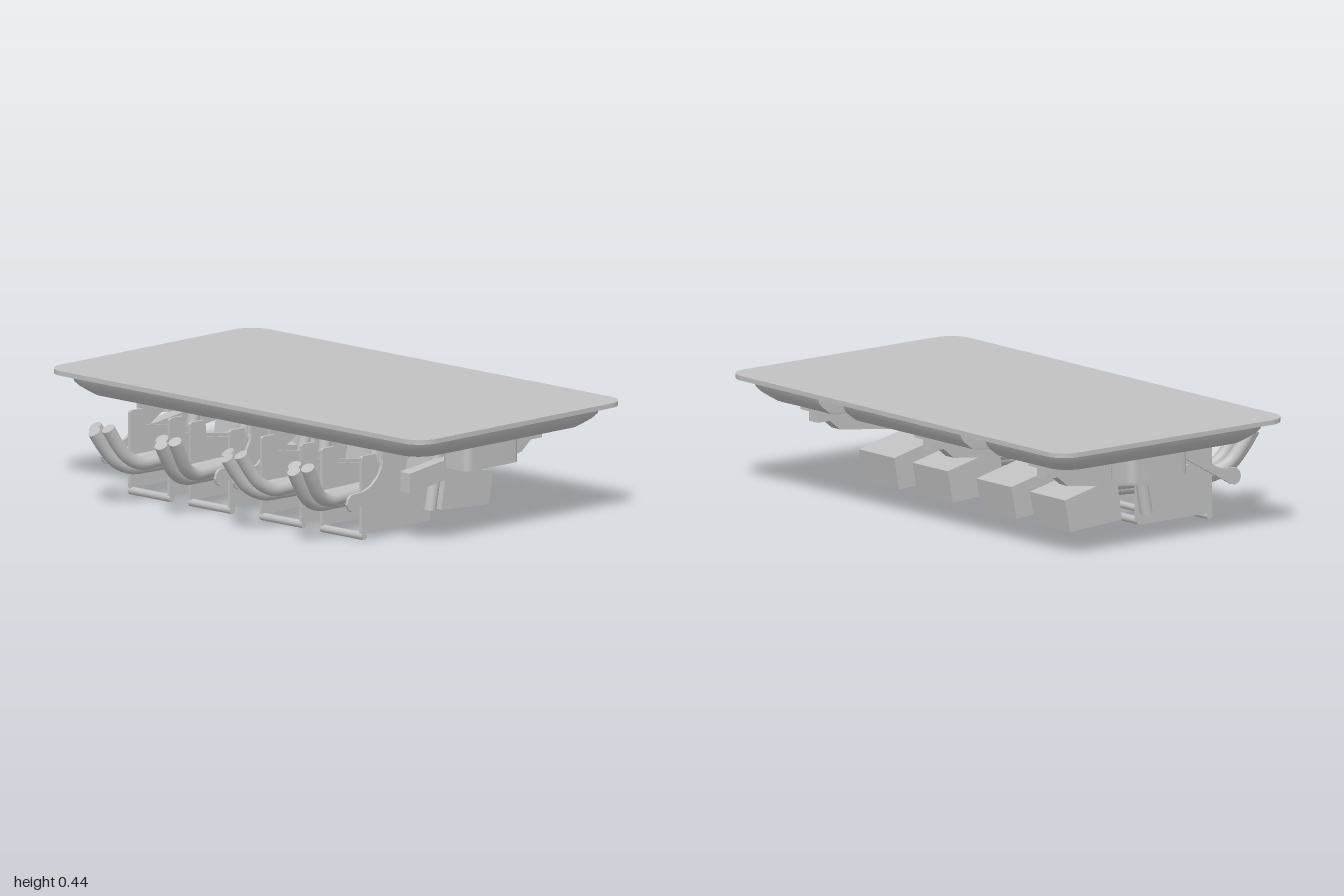
import * as THREE from 'three';
import { toCreasedNormals } from 'three/addons/utils/BufferGeometryUtils.js';

const grey = new THREE.MeshStandardMaterial({ color: 0xc0c0c0 });
grey.name = 'light grey';

function add(parent, geometry, name, x = 0, y = 0, z = 0) {
  const mesh = new THREE.Mesh(geometry, grey);
  mesh.name = name;
  mesh.position.set(x, y, z);
  parent.add(mesh);
  return mesh;
}

// Side profile given as [z, y] points, extruded along x and centred on it
function profile(points, width) {
  const shape = new THREE.Shape(points.map(([z, y]) => new THREE.Vector2(-z, y)));
  const g = new THREE.ExtrudeGeometry(shape, { depth: width, bevelEnabled: false });
  g.translate(0, 0, -width / 2);
  return g.rotateY(Math.PI / 2);
}

// Rounded rectangle in plan, extruded upwards from y = 0
function slab(w, d, r, h) {
  const s = new THREE.Shape();
  const a = w / 2, b = d / 2;
  s.absarc(a - r, b - r, r, 0, Math.PI / 2);
  s.absarc(-a + r, b - r, r, Math.PI / 2, Math.PI);
  s.absarc(-a + r, -b + r, r, Math.PI, Math.PI * 1.5);
  s.absarc(a - r, -b + r, r, Math.PI * 1.5, Math.PI * 2);
  const g = new THREE.ExtrudeGeometry(s, { depth: h, bevelEnabled: false, curveSegments: 10 });
  return toCreasedNormals(g.rotateX(-Math.PI / 2), 0.6);
}

// Cylinder between two points
function rod(parent, name, a, b, r) {
  const from = new THREE.Vector3(...a), to = new THREE.Vector3(...b);
  const dir = to.clone().sub(from);
  const mesh = add(parent, new THREE.CylinderGeometry(r, r, dir.length(), 16), name);
  mesh.position.copy(from).add(to).multiplyScalar(0.5);
  mesh.quaternion.setFromUnitVectors(new THREE.Vector3(0, 1, 0), dir.normalize());
  return mesh;
}

// Plan outline of the tray, inset by d, with two notches in its rear edge
function trayOutline(d) {
  const w = 0.96 - d, front = 0.41 - d, back = -0.64 + d, r = 0.11 - d * 0.3;
  const pts = [];
  const corner = (cx, cz, start) => {
    for (let i = 0; i <= 8; i++) {
      const t = start + (i / 8) * Math.PI / 2;
      pts.push(new THREE.Vector2(cx + r * Math.cos(t), cz + r * Math.sin(t)));
    }
  };
  corner(w - r, front - r, 0);
  corner(-w + r, front - r, Math.PI / 2);
  corner(-w + r, back + r, Math.PI);
  for (const [x, z] of [[-0.5, back], [-0.48, -0.33], [-0.37, -0.33], [-0.35, back],
    [0.35, back], [0.37, -0.33], [0.48, -0.33], [0.5, back]]) pts.push(new THREE.Vector2(x, z));
  corner(w - r, back + r, Math.PI * 1.5);
  return pts;
}

// Loft the outlines down to the flat underside
function trayGeometry() {
  const levels = [[0.428, 0], [0.398, 0.012], [0.382, 0.026], [0.36, 0.055], [0.35, 0.07], [0.345, 0.09]];
  const pos = [], idx = [];
  let n = 0;
  levels.forEach(([y, d], k) => {
    const o = trayOutline(d);
    n = o.length;
    o.forEach(p => pos.push(p.x, y, p.y));
    if (k === 0) return;
    for (let i = 0; i < n; i++) {
      const j = (i + 1) % n, a = (k - 1) * n, b = k * n;
      idx.push(a + i, a + j, b + i, a + j, b + j, b + i);
    }
  });
  const base = (levels.length - 1) * n;
  for (const [a, b, c] of THREE.ShapeUtils.triangulateShape(trayOutline(0.09), []))
    idx.push(base + a, base + b, base + c);
  const g = new THREE.BufferGeometry();
  g.setAttribute('position', new THREE.Float32BufferAttribute(pos, 3));
  g.setIndex(idx);
  return toCreasedNormals(g, 0.6);
}

// One plug bay: cheeks, rods, tilted plug, support posts and a bundle of cables
function plugBay(c, cableStart, cableEnd) {
  const bay = new THREE.Group();
  bay.name = 'plugBay';
  const cheek = profile([[0.375, 0.318], [0.368, 0.325], [0.303, 0.325], [0.295, 0.318], [0.29, 0.26],
    [0.2, 0.245], [0.005, 0.215], [0.005, 0.045], [0.01, 0.032], [0.022, 0.025], [0.375, 0.025]], 0.012);
  for (const s of [-1, 1]) {
    add(bay, cheek, 'cheekPlate', c + s * 0.105);
    rod(bay, 'supportPost', [c + s * 0.135, 0.072, 0.033], [c + s * 0.135, 0.35, -0.02], 0.024);
  }
  const across = (name, y, z, r) => rod(bay, name, [c - 0.111, y, z], [c + 0.111, y, z], r);
  across('frontRod', 0.015, 0.362, 0.015);
  across('rearRod', 0.04, 0.02, 0.015);
  rod(bay, 'axle', [c - 0.135, 0.083, 0.03], [c + 0.135, 0.083, 0.03], 0.013);
  add(bay, profile([[-0.06, 0.055], [-0.315, 0.04], [-0.34, 0.165], [-0.12, 0.215], [-0.115, 0.29],
    [-0.1, 0.29]], 0.21), 'plug', c);

  // Cables sweep out of the bay and turn upwards
  for (const [dx, dz, dy] of [[-0.035, -0.04, 0.012], [0.035, -0.04, 0.012], [0, 0, 0]]) {
    const path = [[-0.08, 0.15, 0], [0.25, 0.135, 0], [0.4, 0.135, 0.05], [0.49, 0.14, 0.2],
      [0.56, 0.175, 0.5], [0.61, 0.235, 0.8], [0.65, 0.295, 1]].map(([z, y, t]) => {
      const k = Math.min(1, Math.max(0, (z - 0.25) / 0.4));
      return new THREE.Vector3(cableStart + (cableEnd - cableStart) * t + dx * (0.5 + 0.5 * k),
        y + dy * (2 - k), z + dz * k);
    });
    const curve = new THREE.CatmullRomCurve3(path);
    add(bay, new THREE.TubeGeometry(curve, 40, 0.026, 14), 'cable');
    const end = add(bay, new THREE.CircleGeometry(0.026, 14), 'cableEnd');
    end.position.copy(curve.getPoint(1));
    end.quaternion.setFromUnitVectors(new THREE.Vector3(0, 0, 1), curve.getTangent(1));
  }
  return bay;
}

export function createModel() {
  const model = new THREE.Group();
  model.name = 'plugTray';

  // Top plate and shallow tray under it
  add(model, slab(2, 1.12, 0.09, 0.018), 'topPlate', 0, 0.427, -0.115);
  add(model, trayGeometry(), 'tray');

  for (const s of [-1, 1]) {
    add(model, slab(0.14, 0.285, 0.03, 0.095), 'underBox', s * 0.8, 0.255, -0.083);
    model.add(plugBay(s * 0.51, s * 0.49, s * 0.53));
    model.add(plugBay(s * 0.19, s * 0.215, s * 0.175));
  }

  // Thin hooked plates reaching forward
  const hook = profile([[0.295, 0.345], [0.14, 0.345], [0.14, 0.303], [0.44, 0.132], [0.462, 0.128],
    [0.48, 0.138], [0.488, 0.158], [0.48, 0.18], [0.465, 0.193], [0.4, 0.197], [0.36, 0.212],
    [0.32, 0.245], [0.3, 0.28], [0.295, 0.305]], 0.012);
  for (const x of [-0.65, -0.05, 0.05, 0.65]) add(model, hook, 'hookPlate', x);

  // Levers on forked pads; the middle one is short
  const longLever = [[0.2, 0.17], [0.2, 0.245], [-0.33, 0.318], [-0.345, 0.325], [-0.51, 0.325], [-0.51, 0.283],
    [-0.45, 0.283], [-0.4, 0.243], [-0.36, 0.238]];
  const shortLever = [[-0.15, 0.213], [-0.15, 0.293], ...longLever.slice(2)];
  for (const x of [-0.68, 0, 0.68]) {
    add(model, profile(x ? longLever : shortLever, 0.05), 'lever', x);
    add(model, new THREE.BoxGeometry(0.15, 0.026, 0.05), 'forkBase', x, 0.333, -0.485);
    for (const s of [-1, 1])
      add(model, new THREE.BoxGeometry(0.03, 0.026, 0.17), 'forkArm', x + s * 0.06, 0.333, -0.385);
  }
  return model;
}
